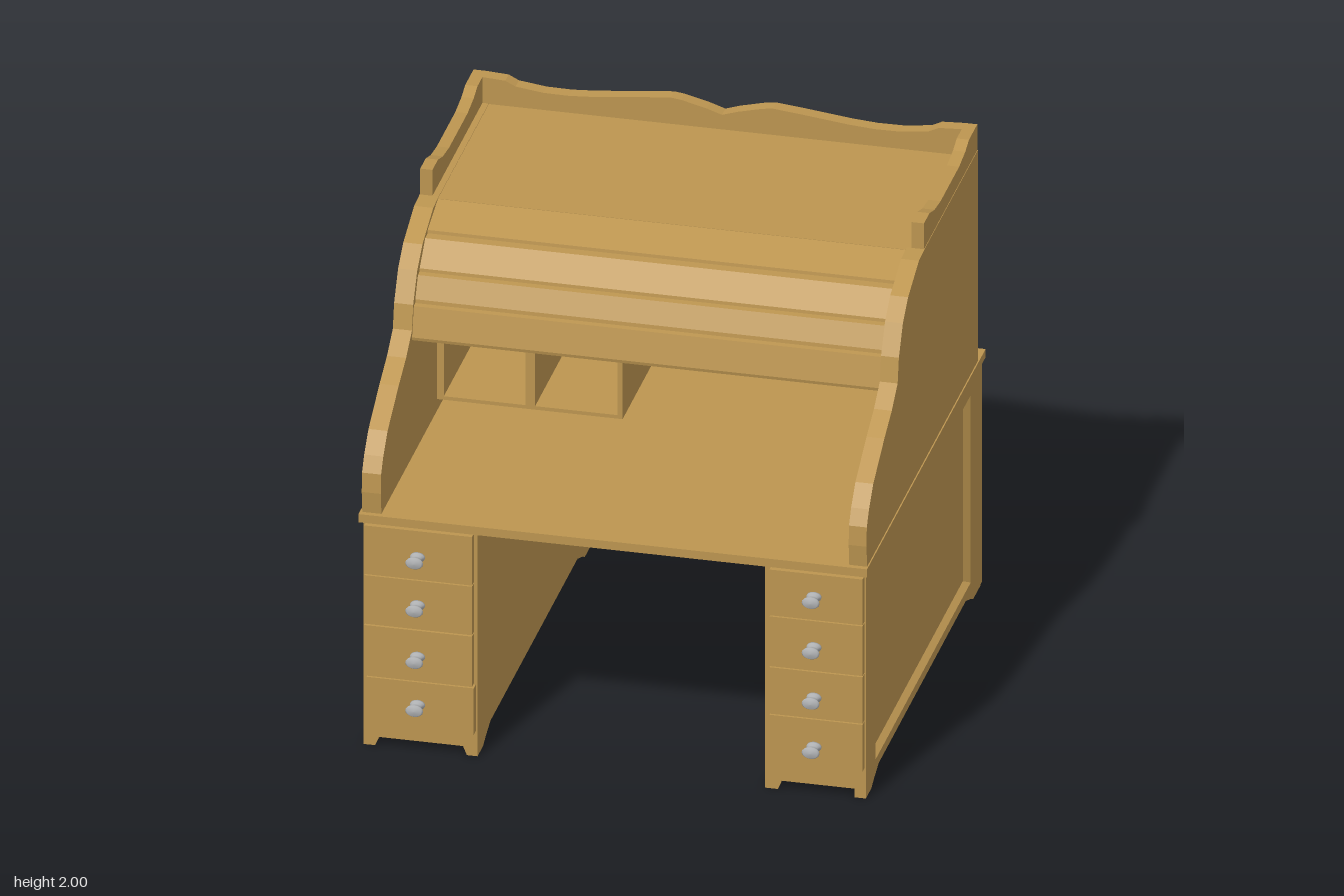
import * as THREE from 'three';

const wood = new THREE.MeshStandardMaterial({ color: 0xbc9550 });
wood.name = 'oak';
wood.side = THREE.DoubleSide;
const metal = new THREE.MeshStandardMaterial({ color: 0xb0b2b4 });
metal.name = 'pewter';

const toShape = pts => new THREE.Shape(pts.map(p => new THREE.Vector2(p[0], p[1])));
const rect = (a0, a1, b0, b1) => [[a0, b0], [a1, b0], [a1, b1], [a0, b1]];

export function createModel() {
  const desk = new THREE.Group();
  desk.name = 'rollTopDesk';

  const add = (name, geo, mat = wood, parent = desk) => {
    const m = new THREE.Mesh(geo, mat);
    m.name = name;
    parent.add(m);
    return m;
  };
  const box = (name, x0, x1, y0, y1, z0, z1) => {
    const g = new THREE.BoxGeometry(x1 - x0, y1 - y0, z1 - z0);
    g.translate((x0 + x1) / 2, (y0 + y1) / 2, (z0 + z1) / 2);
    return add(name, g);
  };
  const extrude = (pts, depth, holes) => {
    const s = toShape(pts);
    holes.forEach(h => s.holes.push(toShape(h)));
    return new THREE.ExtrudeGeometry(s, { depth, bevelEnabled: false });
  };
  // Board drawn in (x, y), running from z0 to z1
  const frontBoard = (name, pts, z0, z1, holes = []) =>
    add(name, extrude(pts, z1 - z0, holes).translate(0, 0, z0));
  // Board drawn in (z, y), running from x0 to x1
  const sideBoard = (name, pts, x0, x1, holes = []) =>
    add(name, extrude(pts, x1 - x0, holes).rotateY(-Math.PI / 2).translate(x1, 0, 0));

  // Pedestal sides with bracket feet
  const footed = [[0.9, 0.955], [-0.96, 0.955], [-0.96, 0], [-0.84, 0], [-0.8, 0.02], [-0.72, 0.05],
    [0.69, 0.05], [0.77, 0.02], [0.81, 0], [0.9, 0]];
  const outerRect = rect(-0.8, 0.745, 0.09, 0.89);
  const innerRect = rect(-0.775, 0.715, 0.105, 0.875);
  for (const s of [1, -1]) {
    const face = s * 0.985, deep = s * 0.96;
    sideBoard('pedestalOuterSide', footed, Math.min(face, s * 0.94), Math.max(face, s * 0.94), [outerRect]);
    // Recessed field and its sloping border
    box('sideField', Math.min(deep, s * 0.945), Math.max(deep, s * 0.945), 0.09, 0.89, -0.8, 0.745);
    const v = [];
    for (let i = 0; i < 4; i++) {
      const j = (i + 1) % 4;
      const at = (p, x) => [x, p[1], p[0]];
      const q = [at(outerRect[i], face), at(outerRect[j], face), at(innerRect[j], deep), at(innerRect[i], deep)];
      const order = s > 0 ? [0, 2, 1, 0, 3, 2] : [0, 1, 2, 0, 2, 3];
      order.forEach(k => v.push(...q[k]));
    }
    const bevel = new THREE.BufferGeometry();
    bevel.setAttribute('position', new THREE.Float32BufferAttribute(v, 3));
    bevel.computeVertexNormals();
    add('sideFieldBevel', bevel);
  }
  sideBoard('pedestalInnerSide', footed, -0.565, -0.538);
  sideBoard('pedestalInnerSide', footed, 0.59, 0.617);

  // Pedestal fronts with cut-out feet
  const pedestalFront = (x0, x1, f0, f1) => frontBoard('pedestalFront',
    [[x0, 0.955], [x0, 0], [f0 - 0.015, 0], [f0, 0.037], [f1, 0.037], [f1 + 0.015, 0], [x1, 0], [x1, 0.955]],
    0.87, 0.9);
  pedestalFront(-0.983, -0.54, -0.925, -0.595);
  pedestalFront(0.592, 0.983, 0.655, 0.945);

  // Drawers and knobs
  const knobGeo = new THREE.LatheGeometry([[0, -0.005], [0.03, -0.005], [0.029, 0.008], [0.02, 0.022], [0.021, 0.034],
    [0.033, 0.05], [0.035, 0.058], [0.028, 0.065], [0, 0.067]].map(p => new THREE.Vector2(p[0], p[1])), 16);
  knobGeo.rotateX(Math.PI / 2).scale(1, 0.7, 1);
  const drawer = (x0, x1, y0, y1, kx, ky) => {
    box('drawerFront', x0, x1, y0, y1, 0.89, 0.933);
    add('drawerKnob', knobGeo, metal).position.set(kx, ky, 0.933);
  };
  [[0.107, 0.305, -0.965, -0.545, 0.21], [0.31, 0.525, -0.975, -0.552, 0.415],
    [0.531, 0.738, -0.975, -0.552, 0.635], [0.743, 0.95, -0.975, -0.552, 0.84]]
    .forEach(([a, b, x0, x1, k]) => drawer(x0, x1, a, b, -0.765, k));
  [[0.13, 0.33, 0.215], [0.335, 0.533, 0.425], [0.538, 0.75, 0.64], [0.755, 0.95, 0.855]]
    .forEach(([a, b, k]) => drawer(0.615, 0.98, a, b, 0.79, k));

  // Lower back and writing surface
  box('lowerBack', -0.975, 0.985, 0.005, 0.955, -0.98, -0.955);
  box('deskTop', -1, 0.995, 0.955, 0.99, -1, 0.922);

  // Curved upper sides
  const profile = [[-0.895, 0.99], [0.9, 0.99], [0.91, 1.08], [0.905, 1.16], [0.87, 1.22], [0.8, 1.295],
    [0.62, 1.4], [0.5, 1.46], [0.405, 1.53], [0.385, 1.63], [0.32, 1.745], [0.235, 1.815], [0.06, 1.885],
    [-0.03, 1.89], [-0.895, 1.89]];
  sideBoard('upperSide', profile, -0.99, -0.915);
  sideBoard('upperSide', profile, 0.92, 0.99);
  box('upperBack', -0.93, 0.93, 0.99, 1.885, -0.888, -0.865);
  box('topBoard', -0.93, 0.93, 1.86, 1.888, -0.893, -0.015);

  // Stepped roll-top slats
  const slats = [[-0.02, 1.888], [0.015, 1.878], [0.15, 1.835], [0.152, 1.822], [0.19, 1.82], [0.28, 1.735],
    [0.282, 1.722], [0.308, 1.72], [0.35, 1.637], [0.352, 1.622], [0.375, 1.62], [0.403, 1.5], [0.4, 1.487],
    [0.37, 1.487], [0.33, 1.6], [0.26, 1.705], [0.15, 1.79], [-0.02, 1.86]];
  sideBoard('rollTop', slats, -0.916, 0.921);

  // Pigeonhole unit
  const holes = [rect(-0.888, -0.567, 1.055, 1.285), rect(-0.53, -0.207, 1.055, 1.285)];
  [-0.873, -0.522, -0.16, 0.2, 0.562].forEach(x => {
    holes.push(rect(x, x + 0.3, 1.31, 1.4), rect(x, x + 0.3, 1.425, 1.53));
  });
  frontBoard('pigeonholes', [[-0.914, 1.04], [-0.187, 1.04], [-0.187, 1.297], [0.892, 1.297], [0.892, 1.55],
    [-0.914, 1.55]], -0.864, 0, holes);

  // Scalloped gallery round the top
  const half = [[0.16, 1.995], [0.2, 2], [0.3, 1.99], [0.5, 1.967], [0.6, 1.96], [0.7, 1.961], [0.81, 1.975],
    [0.85, 1.995], [0.94, 2]];
  const mirrored = half.map(([x, y]) => [-x, y]).reverse();
  frontBoard('backGallery', [[0.94, 1.885], [-0.94, 1.885], ...mirrored, [-0.06, 1.97], [0, 1.95], [0.06, 1.97],
    ...half].reverse(), -0.895, -0.84);
  const sideCurve = [[-0.895, 1.885], [-0.03, 1.885], [-0.03, 2], [-0.12, 2], [-0.2, 1.975], [-0.3, 1.963],
    [-0.6, 1.963], [-0.7, 1.978], [-0.76, 2], [-0.895, 2]];
  sideBoard('sideGallery', sideCurve, -0.988, -0.94);
  sideBoard('sideGallery', sideCurve, 0.94, 0.988);

  return desk;
}
